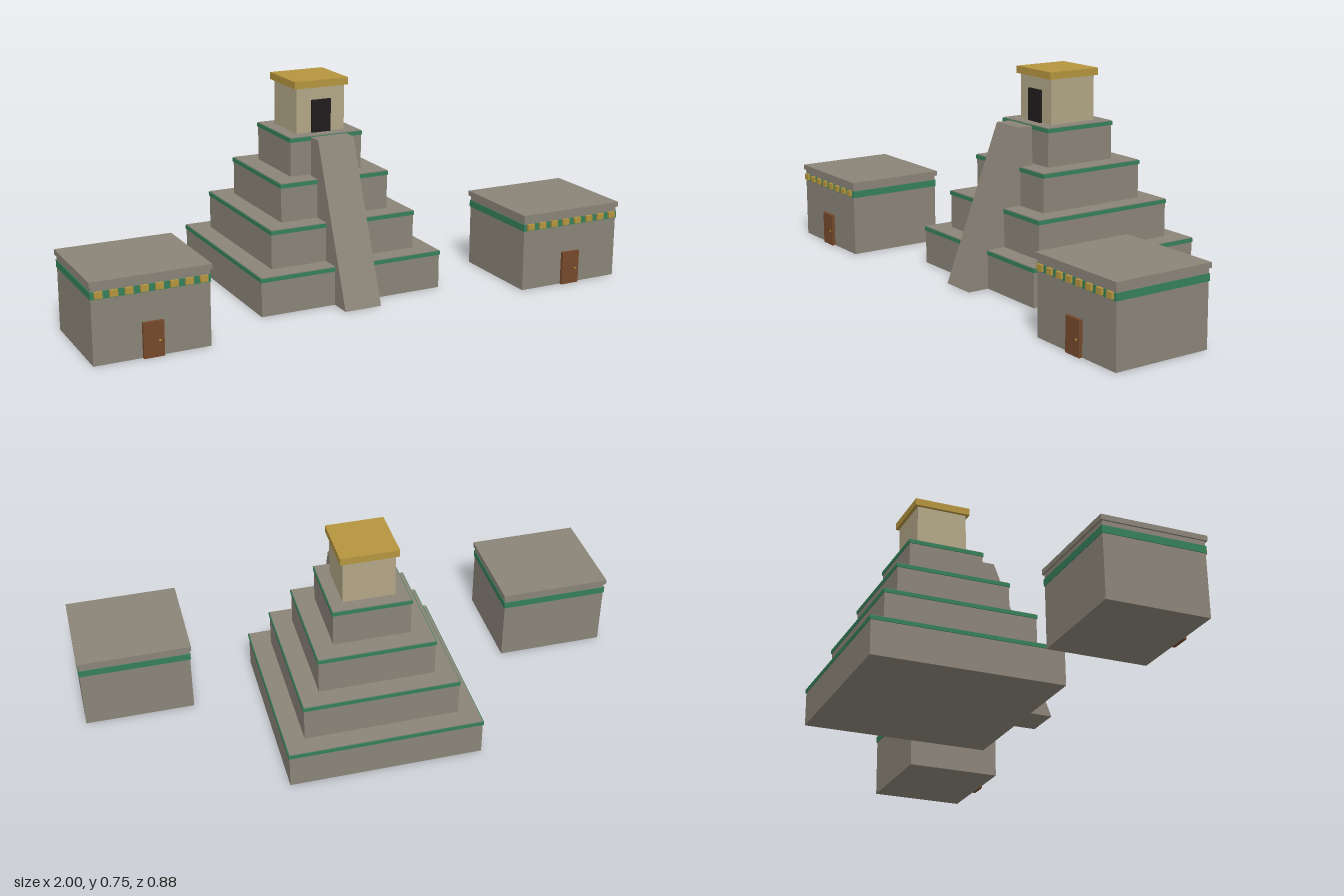
import * as THREE from 'three';

const mat = (name, color) => {
  const m = new THREE.MeshStandardMaterial({ color });
  m.name = name;
  return m;
};

export function createModel() {
  const stone = mat('grey stone', 0x8b8478);
  const jade = mat('jade green', 0x35805a);
  const gold = mat('gold', 0xb5953f);
  const sand = mat('pale sandstone', 0xb3a787);
  const wood = mat('brown wood', 0x75492b);
  const dark = mat('dark opening', 0x1f1d1d);

  const model = new THREE.Group();
  model.name = 'templeComplex';

  // Box standing on height y, centred on x and z
  const block = (parent, name, material, w, h, d, x, y, z) => {
    const mesh = new THREE.Mesh(new THREE.BoxGeometry(w, h, d), material);
    mesh.name = name;
    mesh.position.set(x, y + h / 2, z);
    parent.add(mesh);
    return mesh;
  };

  // Stepped pyramid: four tiers, each with a green band below its top edge
  const pyramid = new THREE.Group();
  pyramid.name = 'pyramid';
  pyramid.position.z = -0.0865;
  model.add(pyramid);
  const tierH = 0.1395;
  for (let i = 0; i < 4; i++) {
    const w = 2 * (0.347 - 0.0695 * i);
    block(pyramid, 'tier', stone, w, tierH, w, 0, tierH * i, 0);
    block(pyramid, 'tierBand', jade, w + 0.006, 0.014, w + 0.006, 0, tierH * (i + 1) - 0.0167, 0);
  }

  // Shrine on the summit
  const top = tierH * 4;
  block(pyramid, 'shrineWalls', sand, 0.186, 0.162, 0.186, 0, top, 0);
  block(pyramid, 'shrineRoof', gold, 0.208, 0.026, 0.208, 0, top + 0.162, 0);
  block(pyramid, 'shrineDoorway', dark, 0.074, 0.117, 0.009, 0, top, 0.0965);

  // Sloping stair ramp, drawn in side profile (z, y) and extruded across x
  const profile = new THREE.Shape([
    new THREE.Vector2(0.066, 0), new THREE.Vector2(0.341, 0),
    new THREE.Vector2(0.127, top), new THREE.Vector2(0.072, top),
  ]);
  const rampGeo = new THREE.ExtrudeGeometry(profile, { depth: 0.138, bevelEnabled: false });
  rampGeo.translate(0, 0, -0.069);
  rampGeo.rotateY(-Math.PI / 2);
  const ramp = new THREE.Mesh(rampGeo, stone);
  ramp.name = 'stairRamp';
  model.add(ramp);

  // Two flat-roofed houses flanking the pyramid
  for (const side of [-1, 1]) {
    const house = new THREE.Group();
    house.name = side > 0 ? 'leftHouse' : 'rightHouse';
    house.position.set(side * 0.796, 0, 0.2455);
    model.add(house);
    block(house, 'houseWalls', stone, 0.396, 0.262, 0.356, 0, 0, 0);
    block(house, 'houseRoof', stone, 0.408, 0.018, 0.369, 0, 0.261, 0);
    block(house, 'houseBand', jade, 0.401, 0.025, 0.361, 0, 0.219, 0);
    for (let i = 0; i < 8; i++) {
      block(house, 'bandOrnament', gold, 0.027, 0.021, 0.01, (i - 3.5) * 0.05, 0.2235, 0.184);
    }
    block(house, 'houseDoor', wood, 0.07, 0.12, 0.012, 0, 0, 0.184);
    const knob = new THREE.Mesh(new THREE.SphereGeometry(0.004, 10, 8), gold);
    knob.name = 'doorKnob';
    knob.position.set(0.02, 0.055, 0.19);
    house.add(knob);
  }
  return model;
}
